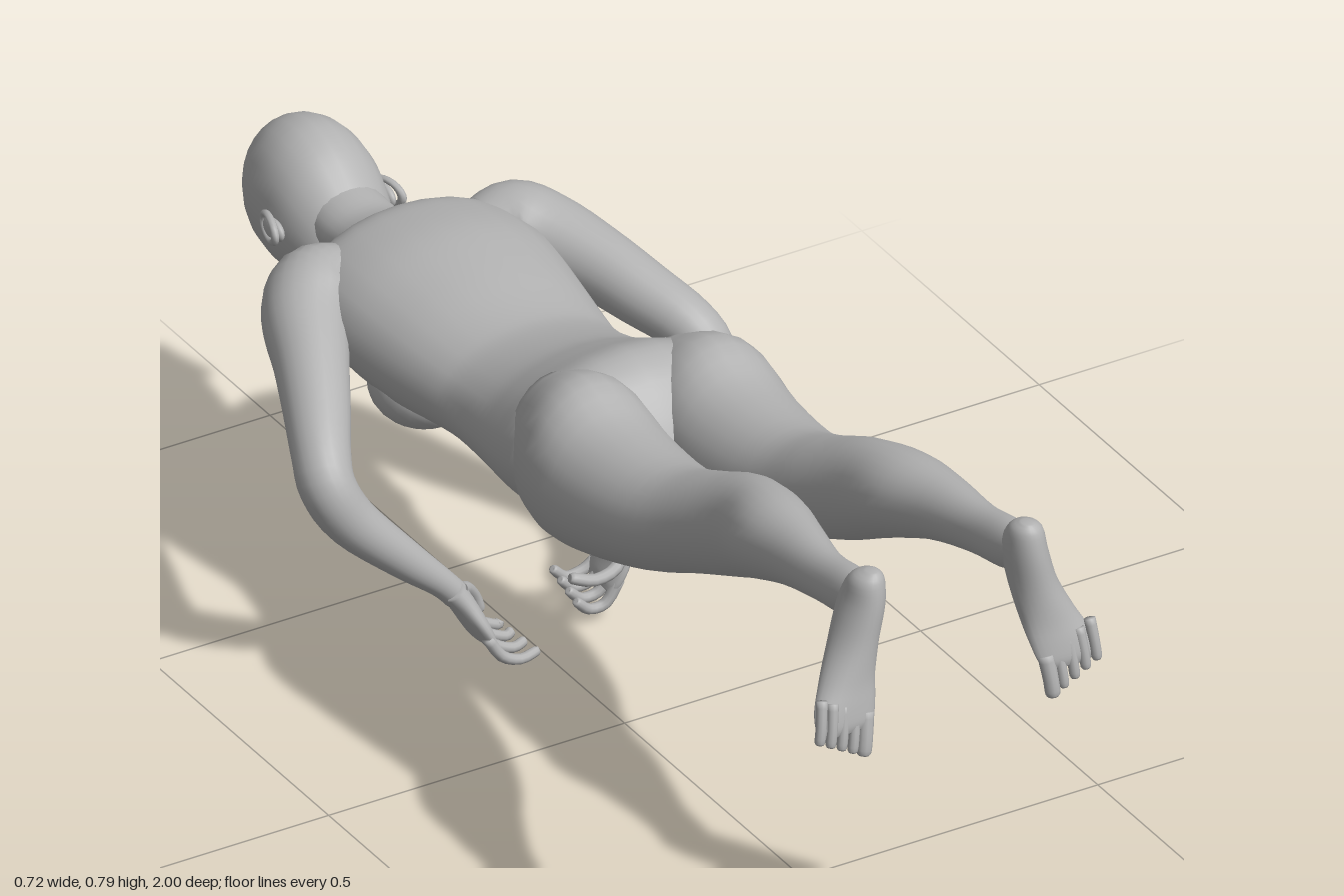
import * as THREE from 'three';

const V = (x, y, z) => new THREE.Vector3(x, y, z);
const SIDES = 24;

// Catmull-Rom value between b and c
function blend(a, b, c, d, t) {
  const cubic = 3 * (b - c) + d - a;
  const square = 2 * a - 5 * b + 4 * c - d;
  return b + 0.5 * t * (c - a + t * (square + t * cubic));
}

// Smoothly resample rows of numbers
function resample(rows, steps) {
  const out = [], last = rows.length - 1;
  for (let i = 0; i < last; i++) {
    const a = rows[Math.max(i - 1, 0)], b = rows[i], c = rows[i + 1], d = rows[Math.min(i + 2, last)];
    for (let s = 0; s < steps; s++) out.push(b.map((p, k) => blend(a[k], p, c[k], d[k], s / steps)));
  }
  out.push(rows[last]);
  return out;
}

// Skin elliptical sections [x, y, z, r1, r2]; a fixed axis keeps sections parallel
function loft(rows, ref, axis = null, steps = 4, sides = SIDES) {
  const secs = resample(rows.map(r => (r.length === 4 ? [...r, r[3]] : r)), steps);
  const pos = [], idx = [], n = secs.length;
  secs.forEach((s, i) => {
    const p = secs[Math.max(i - 1, 0)], q = secs[Math.min(i + 1, n - 1)];
    const t = axis || V(q[0] - p[0], q[1] - p[1], q[2] - p[2]).normalize();
    const u = ref.clone().cross(t).normalize(), v = t.clone().cross(u);
    for (let j = 0; j < sides; j++) {
      const a = (j / sides) * Math.PI * 2;
      const w = V(s[0], s[1], s[2]).addScaledVector(u, s[3] * Math.cos(a)).addScaledVector(v, s[4] * Math.sin(a));
      pos.push(w.x, w.y, w.z);
    }
  });
  for (let i = 0; i < n - 1; i++) {
    for (let j = 0; j < sides; j++) {
      const k = (j + 1) % sides, a = i * sides + j, b = i * sides + k;
      idx.push(a, b, a + sides, b, b + sides, a + sides);
    }
  }
  // End caps
  pos.push(...secs[0].slice(0, 3), ...secs[n - 1].slice(0, 3));
  const c0 = n * sides, e = (n - 1) * sides;
  for (let j = 0; j < sides; j++) {
    const k = (j + 1) % sides;
    idx.push(c0, k, j, c0 + 1, e + j, e + k);
  }
  const g = new THREE.BufferGeometry();
  g.setAttribute('position', new THREE.Float32BufferAttribute(pos, 3));
  g.setIndex(idx);
  g.computeVertexNormals();
  return g;
}

// Rows of [z, top, bottom, halfWidth, x] for parts lying along z
function alongZ(rows) {
  const secs = rows.map(([z, top, bot, w, x = 0]) => [x, (top + bot) / 2, z, w, (top - bot) / 2]);
  return loft(secs, V(0, 1, 0), V(0, 0, 1));
}

export function createModel() {
  const model = new THREE.Group();
  model.name = 'plankFigure';
  const skin = new THREE.MeshStandardMaterial({ color: 0xb2b2b2 });
  skin.name = 'plain grey';
  const add = (name, geo, parent = model) => {
    const m = new THREE.Mesh(geo, skin);
    m.name = name;
    parent.add(m);
    return m;
  };
  const ball = (name, p, r) => {
    const m = add(name, new THREE.SphereGeometry(1, 24, 16));
    m.position.set(...p);
    m.scale.set(...r);
  };
  // Finger or toe with a rounded tip
  const digit = (name, pts, r, parent) => {
    const end = pts[pts.length - 1], prev = pts[pts.length - 2];
    const rows = pts.map((p, i) => [...p, r * (1 - 0.07 * i)]);
    rows.push([...end.map((c, k) => c + 0.12 * (c - prev[k])), r * 0.25]);
    add(name, loft(rows, V(0.1, 0.2, 1), null, 3, 10), parent);
  };

  // Trunk from neck base to seat
  add('torso', alongZ([
    [-0.71, 0.49, 0.43, 0.055], [-0.67, 0.525, 0.405, 0.11], [-0.63, 0.555, 0.385, 0.16], [-0.58, 0.568, 0.36, 0.185],
    [-0.5, 0.575, 0.34, 0.19], [-0.4, 0.565, 0.335, 0.178], [-0.3, 0.548, 0.35, 0.162], [-0.24, 0.548, 0.355, 0.156],
    [-0.15, 0.572, 0.355, 0.165], [-0.08, 0.605, 0.358, 0.18], [0, 0.642, 0.37, 0.196], [0.06, 0.63, 0.385, 0.185],
    [0.11, 0.58, 0.42, 0.13], [0.14, 0.53, 0.47, 0.05]]));
  for (const s of [1, -1]) ball('chest', [s * 0.085, 0.385, -0.43], [0.078, 0.063, 0.085]);

  // Head, neck and face
  add('neck', alongZ([
    [-0.82, 0.51, 0.4, 0.06], [-0.77, 0.505, 0.4, 0.063], [-0.72, 0.502, 0.41, 0.063],
    [-0.67, 0.515, 0.408, 0.072], [-0.62, 0.53, 0.4, 0.09]]));
  add('head', alongZ([
    [-1, 0.455, 0.445, 0.006], [-0.992, 0.492, 0.408, 0.036], [-0.97, 0.527, 0.368, 0.064], [-0.93, 0.553, 0.333, 0.086],
    [-0.88, 0.562, 0.322, 0.094], [-0.83, 0.548, 0.326, 0.091], [-0.785, 0.515, 0.325, 0.08], [-0.75, 0.478, 0.325, 0.064],
    [-0.725, 0.42, 0.33, 0.045], [-0.712, 0.385, 0.345, 0.02]]));
  add('nose', loft([
    [0, 0.33, -0.865, 0.006], [0, 0.318, -0.84, 0.011], [0, 0.308, -0.81, 0.016, 0.019],
    [0, 0.312, -0.797, 0.017, 0.018], [0, 0.326, -0.788, 0.008]], V(0, 1, 0), V(0, 0, 1)));
  ball('lips', [0, 0.328, -0.768], [0.026, 0.01, 0.012]);
  ball('chin', [0, 0.336, -0.733], [0.028, 0.018, 0.02]);
  for (const s of [1, -1]) {
    ball('brow', [s * 0.035, 0.337, -0.87], [0.033, 0.014, 0.014]);
    ball('earLobe', [s * 0.094, 0.437, -0.832], [0.01, 0.017, 0.026]);
    const rim = add('earRim', new THREE.TorusGeometry(0.024, 0.006, 8, 20));
    rim.position.set(s * 0.1, 0.44, -0.835);
    rim.rotation.y = Math.PI / 2 + s * 0.25;
    rim.scale.set(1.25, 0.75, 1);
  }

  // Legs and feet; the two sides are posed slightly differently
  const legX = {
    left: [0.1, 0.108, 0.106, 0.104, 0.1, 0.106, 0.112, 0.12, 0.121, 0.123, 0.123],
    right: [-0.1, -0.106, -0.104, -0.102, -0.095, -0.093, -0.112, -0.126, -0.139, -0.142, -0.142],
  };
  const legShape = [
    [-0.04, 0.61, 0.39, 0.075], [0.06, 0.658, 0.385, 0.103], [0.16, 0.628, 0.408, 0.103], [0.3, 0.63, 0.455, 0.087],
    [0.4, 0.668, 0.5, 0.074], [0.5, 0.715, 0.545, 0.063], [0.6, 0.742, 0.6, 0.066], [0.7, 0.75, 0.645, 0.049],
    [0.8, 0.757, 0.675, 0.034], [0.88, 0.772, 0.69, 0.031], [0.93, 0.775, 0.71, 0.022]];
  const footX = {
    left: [0.121, 0.123, 0.125, 0.134, 0.148, 0.159, 0.164, 0.167],
    right: [-0.141, -0.145, -0.15, -0.168, -0.19, -0.205, -0.212, -0.216],
  };
  // Rows of [y, z, halfWidth, halfDepth] from heel to ball
  const footShape = [
    [0.795, 0.932, 0.008, 0.01], [0.782, 0.926, 0.024, 0.028], [0.745, 0.92, 0.031, 0.042], [0.69, 0.927, 0.036, 0.04],
    [0.64, 0.945, 0.044, 0.03], [0.605, 0.963, 0.05, 0.021], [0.58, 0.975, 0.048, 0.014], [0.567, 0.98, 0.036, 0.007]];
  for (const side of ['left', 'right']) {
    const s = side === 'left' ? 1 : -1;
    add(side + 'Leg', alongZ(legShape.map((r, i) => [...r, legX[side][i]])));
    const foot = new THREE.Group();
    foot.name = side + 'Foot';
    model.add(foot);
    const secs = footShape.map(([y, z, rx, rz], i) => [footX[side][i], y, z, rx, rz]);
    add('sole', loft(secs, V(0, 0, 1), V(0, -1, 0)), foot);
    const base = s > 0 ? 0.128 : 0.176, lean = s > 0 ? 0.004 : 0.012;
    for (let i = 0; i < 5; i++) {
      const x = base + i * 0.0185, y = 0.528 + i * 0.01;
      const path = [[s * x, y + 0.06, 0.974], [s * (x + lean * 0.6), y + 0.025, 0.984], [s * (x + lean), y, 0.988]];
      digit('toe', path, i ? 0.0088 : 0.0125, foot);
    }
  }

  // Arms from shoulder to wrist
  add('leftArm', loft([
    [0.11, 0.485, -0.6, 0.05], [0.165, 0.485, -0.595, 0.068], [0.205, 0.473, -0.555, 0.066], [0.24, 0.46, -0.48, 0.056],
    [0.27, 0.44, -0.4, 0.05], [0.302, 0.415, -0.325, 0.044], [0.315, 0.375, -0.293, 0.043], [0.3, 0.3, -0.287, 0.039],
    [0.24, 0.207, -0.287, 0.03], [0.185, 0.155, -0.288, 0.022], [0.165, 0.13, -0.29, 0.021]], V(0.067, -0.048, -0.039)));
  add('rightArm', loft([
    [-0.11, 0.485, -0.6, 0.05], [-0.165, 0.48, -0.595, 0.068], [-0.205, 0.463, -0.555, 0.066], [-0.242, 0.44, -0.48, 0.056],
    [-0.275, 0.41, -0.41, 0.05], [-0.306, 0.375, -0.345, 0.044], [-0.314, 0.338, -0.312, 0.042], [-0.283, 0.28, -0.297, 0.039],
    [-0.207, 0.203, -0.28, 0.03], [-0.15, 0.15, -0.27, 0.022], [-0.125, 0.122, -0.267, 0.021]], V(-0.067, -0.048, -0.039)));

  // Hands with loosely curled fingers
  const hand = (name, palm, finger, thumb) => {
    const g = new THREE.Group();
    g.name = name;
    model.add(g);
    add('palm', loft(palm, V(0, 0, 1)), g);
    for (let i = 0; i < 4; i++) digit('finger', finger(i), 0.0095, g);
    digit('thumb', thumb, 0.011, g);
  };
  hand('leftHand',
    [[0.175, 0.148, -0.288, 0.02, 0.023], [0.168, 0.12, -0.29, 0.018, 0.031], [0.157, 0.085, -0.295, 0.016, 0.042],
      [0.143, 0.058, -0.297, 0.013, 0.042], [0.134, 0.047, -0.298, 0.006, 0.034]],
    i => {
      const z = -0.264 - i * 0.022, d = i * 0.007;
      return [[0.148, 0.064, z], [0.128, 0.03 + d, z - 0.002], [0.1, 0.027 + d, z - 0.003], [0.078, 0.047 + d, z]];
    },
    [[0.163, 0.12, -0.272], [0.135, 0.095, -0.25], [0.095, 0.09, -0.243], [0.06, 0.102, -0.247]]);
  hand('rightHand',
    [[-0.135, 0.135, -0.268, 0.02, 0.023], [-0.117, 0.108, -0.266, 0.018, 0.031], [-0.1, 0.075, -0.262, 0.016, 0.042],
      [-0.088, 0.052, -0.26, 0.013, 0.042], [-0.08, 0.042, -0.26, 0.006, 0.034]],
    i => {
      const z = -0.226 - i * 0.022, d = i * 0.008;
      return [[-0.096, 0.06, z], [-0.075, 0.026 + d, z + 0.004], [-0.045, 0.012 + d, z + 0.006], [-0.016 - d, 0.016 + d, z + 0.004]];
    },
    [[-0.115, 0.115, -0.285], [-0.085, 0.1, -0.307], [-0.064, 0.075, -0.318], [-0.055, 0.05, -0.318]]);
  return model;
}
